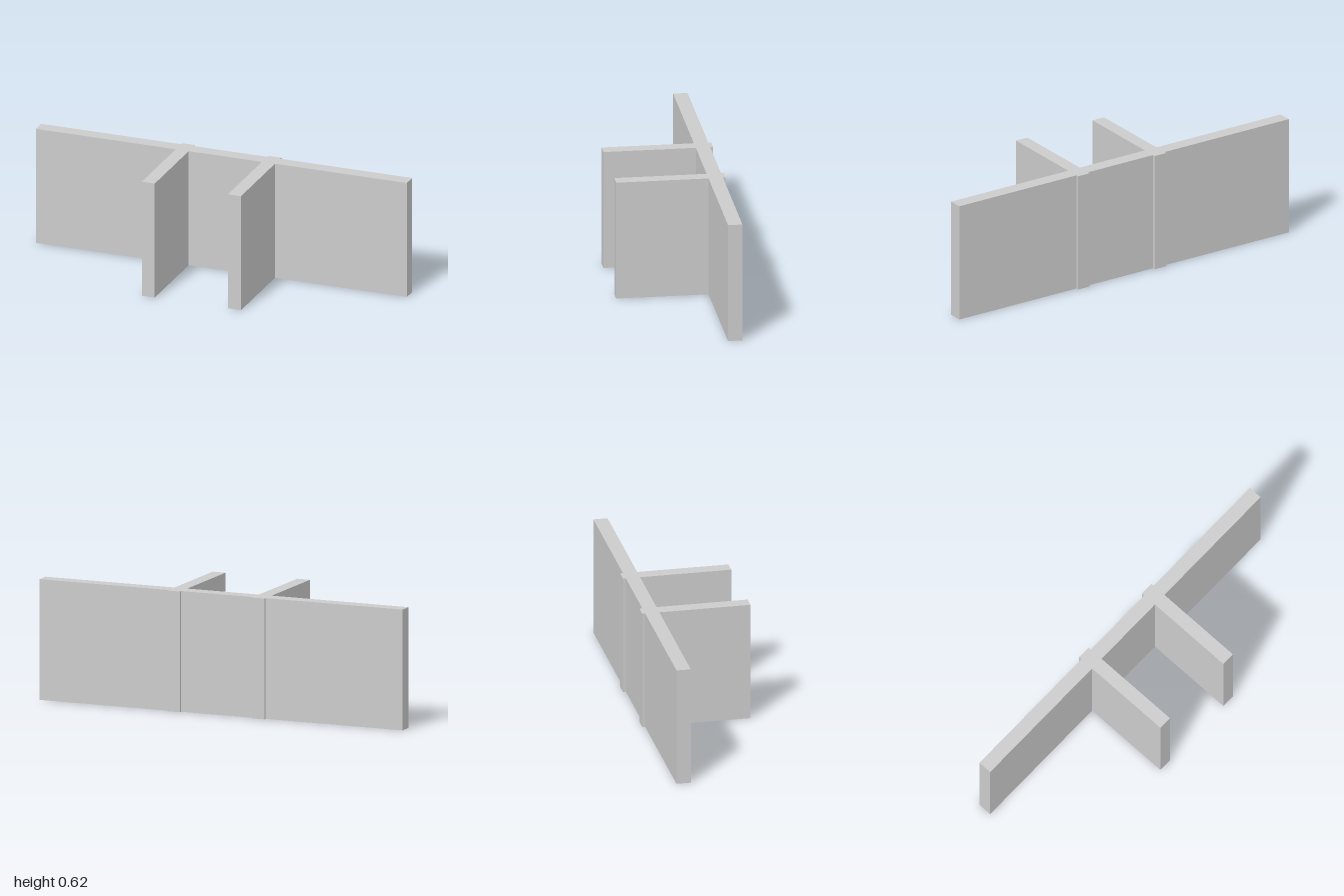
import * as THREE from 'three';

const HEIGHT = 0.617;
const PANEL_BACK = -0.263, PANEL_FRONT = -0.19;
const FIN_REACH = 0.278;

export function createModel() {
  const model = new THREE.Group();
  model.name = 'pairedFinWall';
  const material = new THREE.MeshStandardMaterial({ color: 0xcccccc, flatShading: true });

  // Full-height slab between two x and two z limits
  function addSlab(name, x0, x1, z0, z1) {
    const slab = new THREE.Mesh(new THREE.BoxGeometry(x1 - x0, HEIGHT, z1 - z0), material);
    slab.position.set((x0 + x1) / 2, HEIGHT / 2, (z0 + z1) / 2);
    slab.name = name;
    model.add(slab);
  }

  // Long wall panel
  addSlab('wallPanel', -1, 1, PANEL_BACK, PANEL_FRONT);

  // Two cross fins: a deep part in front, a shallow rib showing behind
  for (const [side, x0, x1] of [['right', -0.246, -0.176], ['left', 0.219, 0.289]]) {
    addSlab(side + 'Fin', x0, x1, PANEL_FRONT, FIN_REACH);
    addSlab(side + 'RearRib', x0, x1, -FIN_REACH, PANEL_BACK);
  }
  return model;
}
